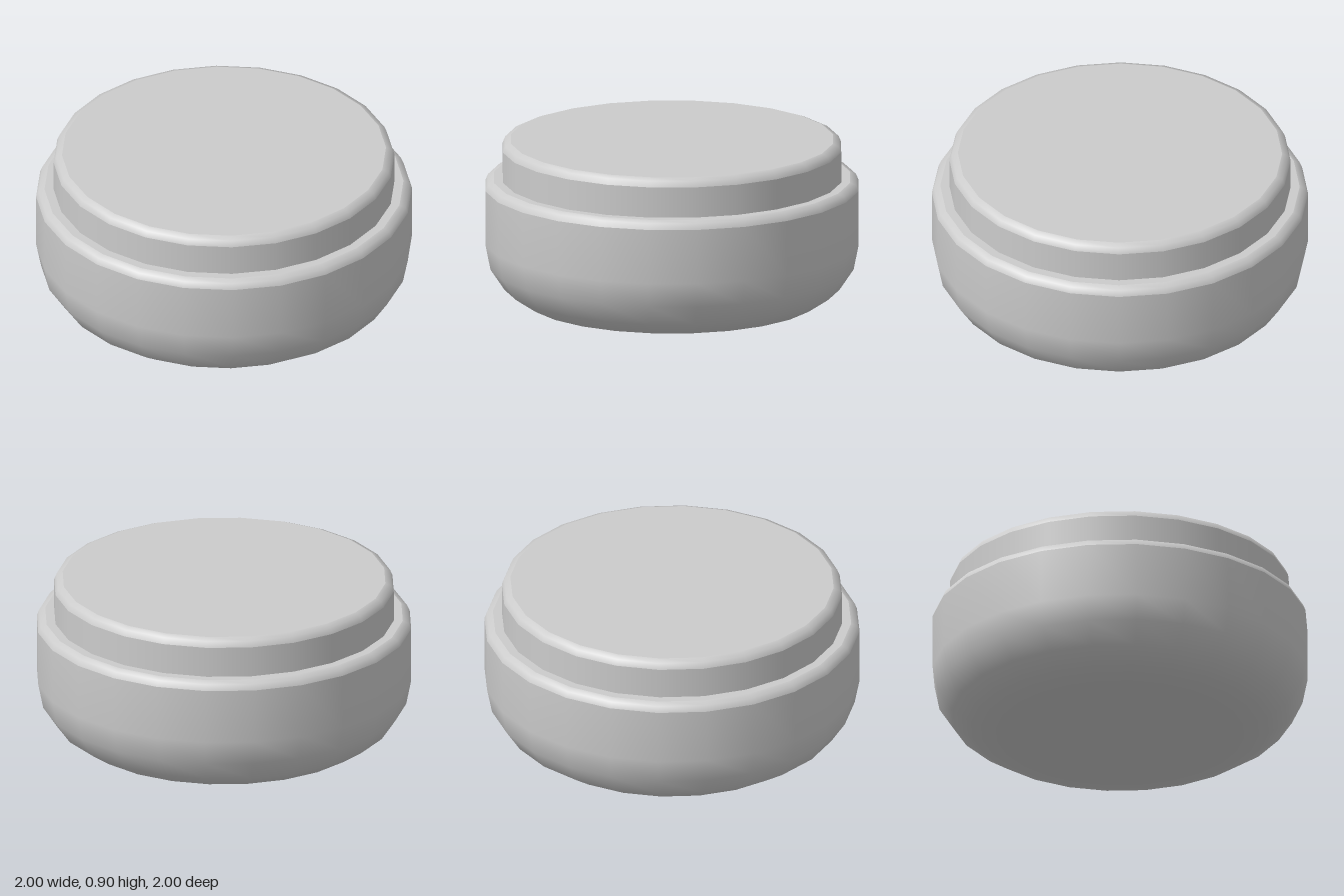
import * as THREE from 'three';
import { mergeGeometries } from 'three/addons/utils/BufferGeometryUtils.js';

const SIDES = 24;
const material = new THREE.MeshStandardMaterial({ color: 0xcccccc });

// Points along a quarter arc, from angle a to angle b (radians)
function arc(cx, cy, r, a, b, steps) {
  return Array.from({ length: steps + 1 }, (_, i) => {
    const t = a + ((b - a) * i) / steps;
    return [cx + r * Math.cos(t), cy + r * Math.sin(t)];
  });
}

// Each run is smooth in itself; the edges between runs stay sharp
function turned(name, runs) {
  const parts = runs.map((run) =>
    new THREE.LatheGeometry(run.map(([x, y]) => new THREE.Vector2(x, y)), SIDES));
  const mesh = new THREE.Mesh(mergeGeometries(parts), material);
  mesh.name = name;
  return mesh;
}

export function createModel() {
  const group = new THREE.Group();
  group.name = 'roundJar';

  const bevel = 0.045;
  const shoulderY = 0.69, topY = 0.9, lidR = 0.907;

  // Bowl-shaped body: flat underside, rounded lower edge, wall, bevel, ledge
  group.add(turned('body', [
    [[0, 0], ...arc(0.65, 0.35, 0.35, -Math.PI / 2, 0, 4), [1, shoulderY - bevel]],
    arc(1 - bevel, shoulderY - bevel, bevel, 0, Math.PI / 2, 2),
    [[1 - bevel, shoulderY], [0, shoulderY]],
  ]));

  // Narrower lid: wall, bevelled rim, flat top
  group.add(turned('lid', [
    [[lidR, shoulderY], [lidR, topY - bevel]],
    arc(lidR - bevel, topY - bevel, bevel, 0, Math.PI / 2, 2),
    [[lidR - bevel, topY], [0, topY]],
  ]));

  return group;
}
